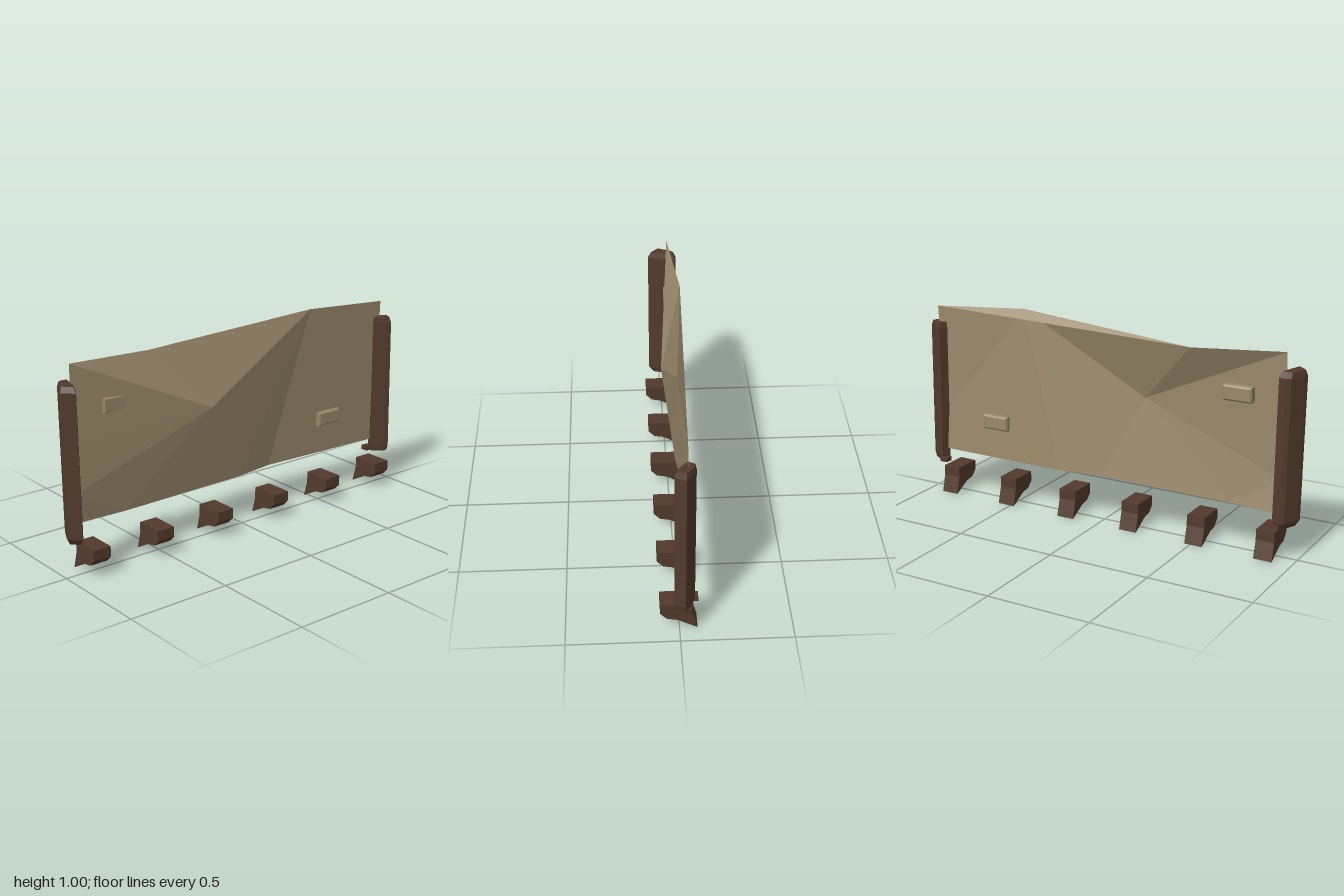
import * as THREE from 'three';

// Flat-faced geometry from a list of triangles, each made of three [x, y, z] points
function facets(tris) {
  const g = new THREE.BufferGeometry();
  g.setAttribute('position', new THREE.Float32BufferAttribute(tris.flat(2), 3));
  g.computeVertexNormals();
  return g;
}

// Loft a footprint [x, z] through levels of [y, scale, xShift]
function loft(footprint, levels) {
  const n = footprint.length;
  const cx = footprint.reduce((s, p) => s + p[0], 0) / n;
  const cz = footprint.reduce((s, p) => s + p[1], 0) / n;
  const rings = levels.map(([y, k, dx]) =>
    footprint.map(([x, z]) => [cx + (x - cx) * k + dx, y, cz + (z - cz) * k]));
  const tris = [];
  for (let l = 0; l < rings.length - 1; l++) {
    const a = rings[l], b = rings[l + 1];
    for (let i = 0; i < n; i++) {
      const j = (i + 1) % n;
      tris.push([a[i], b[j], a[j]], [a[i], b[i], b[j]]);
    }
  }
  const low = rings[0], top = rings[rings.length - 1];
  for (let i = 1; i < n - 1; i++) {
    tris.push([low[0], low[i], low[i + 1]], [top[0], top[i + 1], top[i]]);
  }
  return facets(tris);
}

export function createModel() {
  const model = new THREE.Group();
  model.name = 'hidePanel';

  const hide = new THREE.MeshStandardMaterial({ color: 0x9a896b, flatShading: true, side: THREE.DoubleSide });
  hide.name = 'tan hide';
  const wood = new THREE.MeshStandardMaterial({ color: 0x523a2c, flatShading: true });
  wood.name = 'dark wood';

  const add = (name, geometry, material, x = 0, y = 0, z = 0) => {
    const mesh = new THREE.Mesh(geometry, material);
    mesh.name = name;
    mesh.position.set(x, y, z);
    model.add(mesh);
    return mesh;
  };

  // Creased sheet: outline points plus one forward bulge (M)
  const P = {
    A: [-0.92, 0.965, -0.03], B: [-0.48, 0.94, -0.075], C: [0.44, 1.0, -0.012],
    D: [0.94, 0.965, -0.03], E: [0.915, 0.42, -0.03], F: [0.91, 0.225, -0.04],
    G: [0.22, 0.232, -0.06], H: [0, 0.232, -0.03], I: [-0.66, 0.225, -0.03],
    J: [-0.92, 0.225, -0.045], K: [-0.93, 0.37, -0.02], L: [-0.93, 0.605, -0.02],
    M: [-0.2, 0.64, 0.03],
  };
  const sheetFaces = 'ALM AMB BMC CMH CHG CGE GFE CED MLK MKI MIH IKJ';
  const toTriangles = text => text.split(' ').map(f => [...f].map(k => P[k]));
  add('sheet', facets(toTriangles(sheetFaces)), hide);
  // Fold closing the top edge at the back
  add('topFold', facets(toTriangles('CDB')), hide);

  // Small bevelled patches that pass through the sheet
  const patchShape = new THREE.Shape();
  patchShape.moveTo(-0.062, -0.028);
  patchShape.lineTo(0.062, -0.028);
  patchShape.lineTo(0.062, 0.028);
  patchShape.lineTo(-0.062, 0.028);
  patchShape.closePath();
  const patchGeometry = new THREE.ExtrudeGeometry(patchShape, {
    depth: 0.034, bevelEnabled: true, bevelSize: 0.008, bevelThickness: 0.008, bevelSegments: 1,
  });
  patchGeometry.translate(0, 0, -0.017);
  add('upperPatch', patchGeometry, hide, -0.7, 0.75, -0.03);
  add('lowerPatch', patchGeometry, hide, 0.59, 0.415, -0.043);

  // Side posts, turned outward, with chamfered ends
  add('rightPost', loft(
    [[-1, 0.02], [-0.995, 0.002], [-0.96, -0.07], [-0.94, -0.08], [-0.905, -0.076], [-0.94, 0.05], [-0.95, 0.064]],
    [[0.162, 0.7, 0.008], [0.19, 1, 0.005], [0.86, 1, 0], [0.887, 0.8, 0]]), wood);
  add('leftPost', loft(
    [[0.888, -0.03], [0.91, -0.066], [0.93, -0.062], [0.99, -0.022], [0.965, 0.026], [0.945, 0.016]],
    [[0.162, 0.85, 0.01], [0.19, 1, 0.01], [0.86, 1, 0], [0.887, 0.85, -0.003]]), wood);

  // Short toes at the inner foot of each post
  for (const [name, x] of [['rightToe', -0.915], ['leftToe', 0.905]]) {
    add(name, new THREE.BoxGeometry(0.04, 0.022, 0.04), wood, x, 0.173, -0.06);
  }

  // Row of six brackets under the sheet
  const profile = [[0.085, 0.135], [0.085, 0.085], [0.055, 0.055], [0.008, 0.047],
    [-0.08, 0], [-0.057, 0.085], [-0.057, 0.135]];
  const bracketShape = new THREE.Shape(profile.map(([z, y]) => new THREE.Vector2(-z, y)));
  const bracketGeometry = new THREE.ExtrudeGeometry(bracketShape, { depth: 0.09, bevelEnabled: false });
  bracketGeometry.translate(0, 0, -0.045);
  bracketGeometry.rotateY(Math.PI / 2);
  for (let i = 0; i < 6; i++) {
    add('bracket' + (i + 1), bracketGeometry, wood, -0.863 + i * 0.347, 0, 0);
  }

  return model;
}
